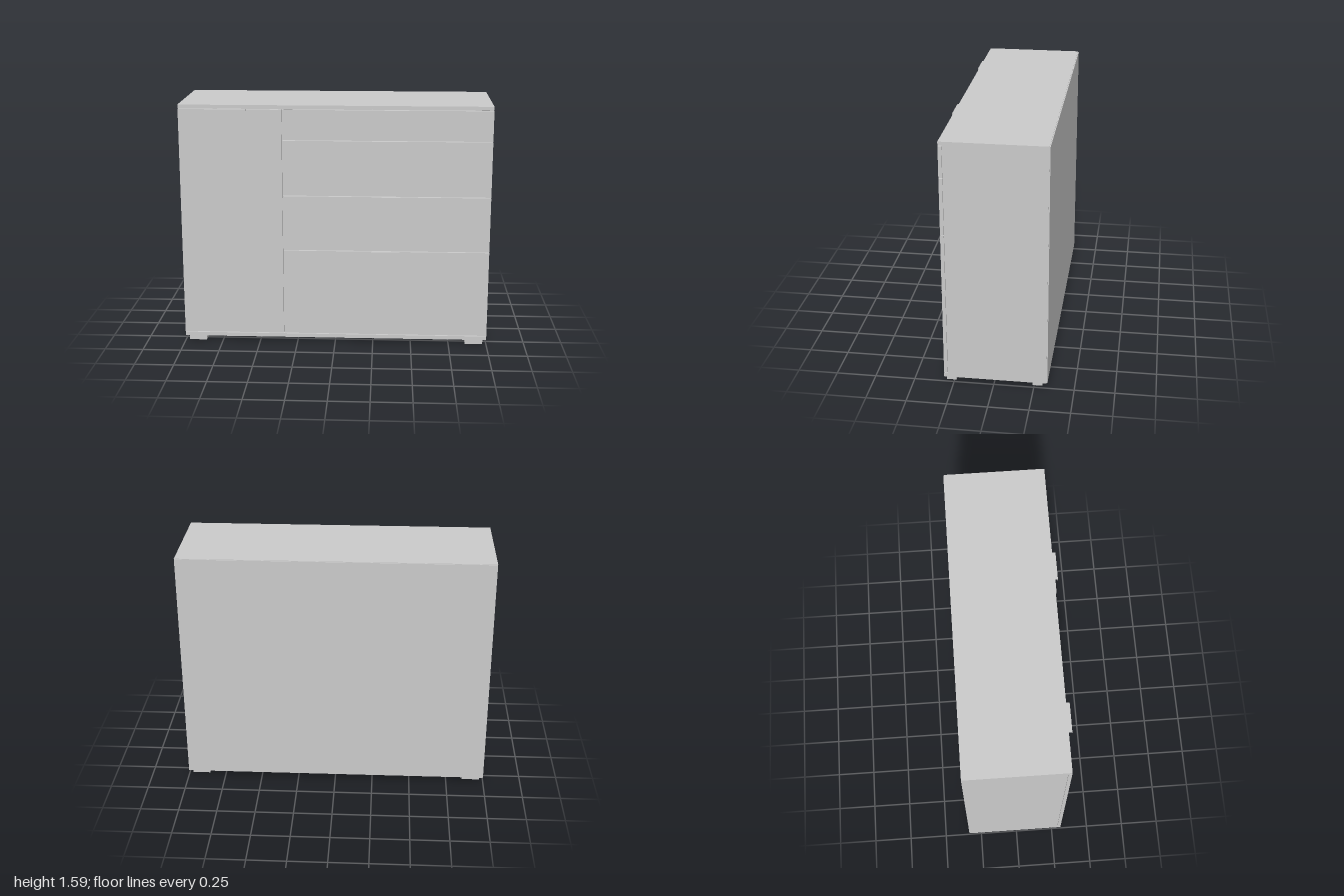
import * as THREE from 'three';

const material = new THREE.MeshStandardMaterial({ color: 0xcccccc });

export function createModel() {
  const model = new THREE.Group();
  model.name = 'sideboard';

  // Box given by its limits on each axis
  const box = (name, [x0, x1], [y0, y1], [z0, z1], parent = model) => {
    const mesh = new THREE.Mesh(new THREE.BoxGeometry(x1 - x0, y1 - y0, z1 - z0), material);
    mesh.position.set((x0 + x1) / 2, (y0 + y1) / 2, (z0 + z1) / 2);
    mesh.name = name;
    parent.add(mesh);
    return mesh;
  };

  const front = 0.312, inner = 0.29, back = -0.328;
  const low = 0.058, high = 1.564, gap = 0.005, split = -0.338;

  // Carcass
  box('topPanel', [-1, 1], [high, 1.588], [back, front]);
  box('bottomPanel', [-1, 1], [0.033, low], [back, front]);
  box('rightSidePanel', [-1, -0.975], [low, high], [back, inner - 0.002]);
  box('leftSidePanel', [0.975, 1], [low, high], [back, inner - 0.002]);
  box('divider', [split - 0.012, split + 0.012], [low, high], [back, inner - 0.002]);
  box('backPanel', [-0.998, 0.998], [0.036, 1.585], [-0.334, back]);

  // Folded pull: a thin plate over the front's top edge with a lip hanging down
  const addHandle = (x, y) => {
    const handle = new THREE.Group();
    handle.name = 'handle';
    box('handlePlate', [x - 0.092, x + 0.092], [y, y + 0.003], [inner, 0.335], handle);
    box('handleLip', [x - 0.092, x + 0.092], [y - 0.016, y], [0.332, 0.335], handle);
    model.add(handle);
  };

  // Door
  box('door', [-1, split - gap / 2], [low + gap, high - gap], [inner, front]);
  addHandle(-0.657, high - gap);

  // Drawers, bottom to top
  const levels = [low + gap / 2, 0.635, 1.0, 1.363, high - gap / 2];
  for (let i = 0; i < 4; i++) {
    const top = levels[i + 1] - gap / 2;
    box('drawerFront', [split + gap / 2, 1], [levels[i] + gap / 2, top], [inner, front]);
    addHandle(0.328, top);
  }

  // Feet
  for (const sx of [-1, 1])
    for (const sz of [-1, 1]) {
      const foot = box('foot', [-0.058, 0.058], [0, 0.033], [-0.031, 0.031]);
      foot.position.x = sx * 0.918;
      foot.position.z = sz * 0.269;
    }

  return model;
}
